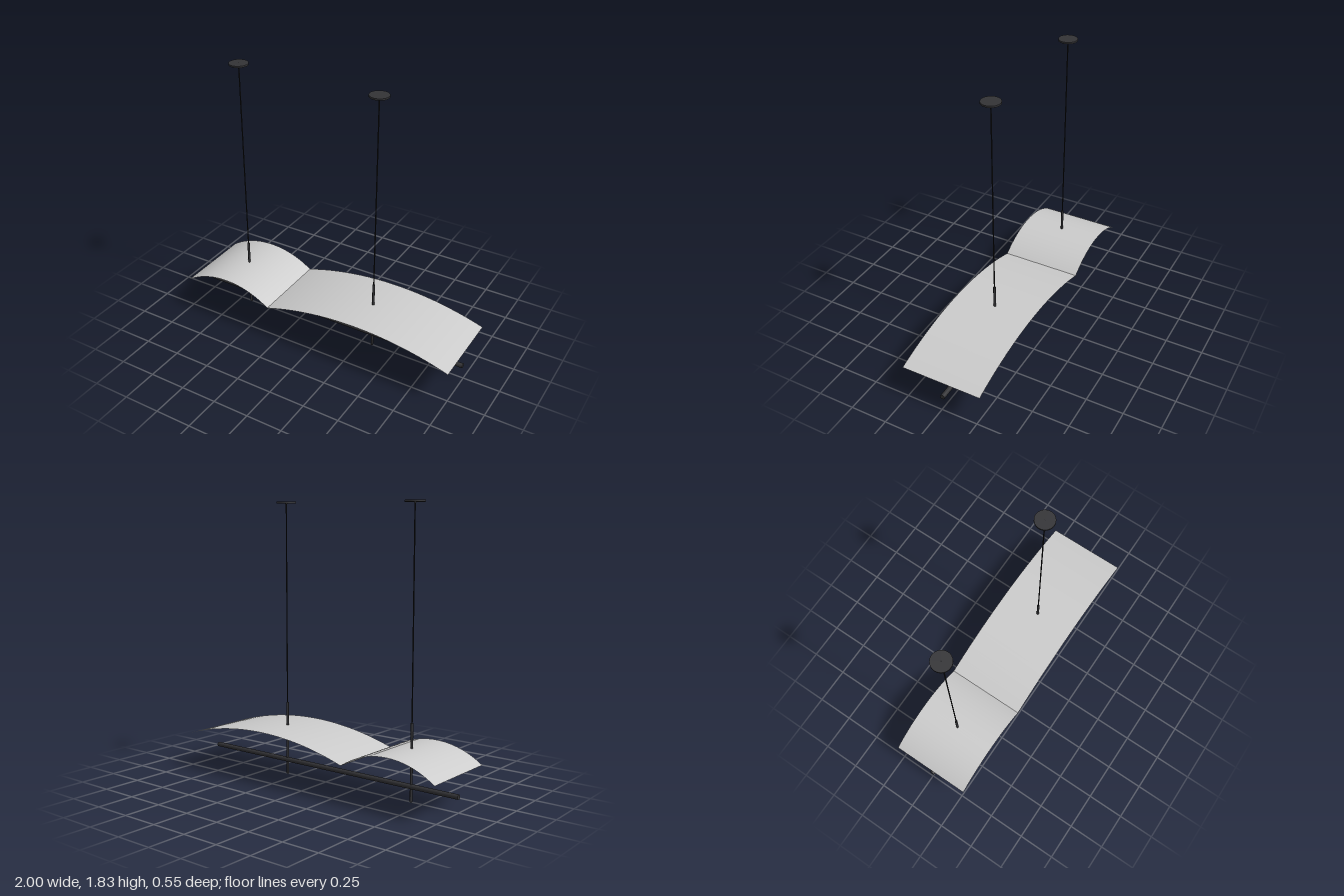
import * as THREE from 'three';

const dark = new THREE.MeshStandardMaterial({ color: 0x333336 });
dark.name = 'darkMetal';
const black = new THREE.MeshStandardMaterial({ color: 0x1c1c1e });
black.name = 'blackCable';
const pale = new THREE.MeshStandardMaterial({ color: 0xcccccc, side: THREE.DoubleSide });
pale.name = 'paleSheet';

const EDGE_Y = 0.23, TOP_Y = 0.337, DEPTH = 0.55;

function add(parent, name, geometry, material, x, y) {
  const mesh = new THREE.Mesh(geometry, material);
  mesh.name = name;
  mesh.position.set(x, y, 0);
  parent.add(mesh);
  return mesh;
}

// Upright cylinder between two heights
function post(parent, name, radius, y0, y1, material, sides = 16) {
  return add(parent, name, new THREE.CylinderGeometry(radius, radius, y1 - y0, sides), material, 0, (y0 + y1) / 2);
}

// Thin sheet bent to a circular arc spanning x0 to x1
function archGeometry(x0, x1) {
  const half = (x1 - x0) / 2, sag = TOP_Y - EDGE_Y;
  const radius = (half * half + sag * sag) / (2 * sag);
  const sweep = Math.asin(half / radius);
  const geometry = new THREE.PlaneGeometry(2, DEPTH, 40, 1).rotateX(-Math.PI / 2);
  const p = geometry.attributes.position;
  for (let i = 0; i < p.count; i++) {
    const a = p.getX(i) * sweep;
    p.setX(i, (x0 + x1) / 2 + radius * Math.sin(a));
    p.setY(i, TOP_Y - radius + radius * Math.cos(a));
  }
  geometry.computeVertexNormals();
  return geometry;
}

export function createModel() {
  const model = new THREE.Group();
  model.name = 'pendantLamp';

  // Two arched reflectors meeting in a valley
  add(model, 'smallReflector', archGeometry(-1, -1 / 3), pale, 0, 0);
  add(model, 'largeReflector', archGeometry(-1 / 3, 1), pale, 0, 0);

  // Long horizontal light tube
  const tube = add(model, 'lightTube', new THREE.CylinderGeometry(0.016, 0.016, 1.99, 24), dark, -0.005, 0.097);
  tube.rotation.z = Math.PI / 2;

  // Hangers: rod through the reflector, cable and ceiling disc
  for (const [name, x] of [['rightHanger', -0.667], ['leftHanger', 0.33]]) {
    const hanger = new THREE.Group();
    hanger.name = name;
    hanger.position.x = x;
    post(hanger, 'rod', 0.0085, 0, 0.493, dark);
    post(hanger, 'cable', 0.004, 0.493, 1.826, black, 12);
    post(hanger, 'cableGrip', 0.008, 1.81, 1.816, dark);
    post(hanger, 'ceilingDisc', 0.063, 1.815, 1.826, dark, 40);
    model.add(hanger);
  }
  return model;
}
